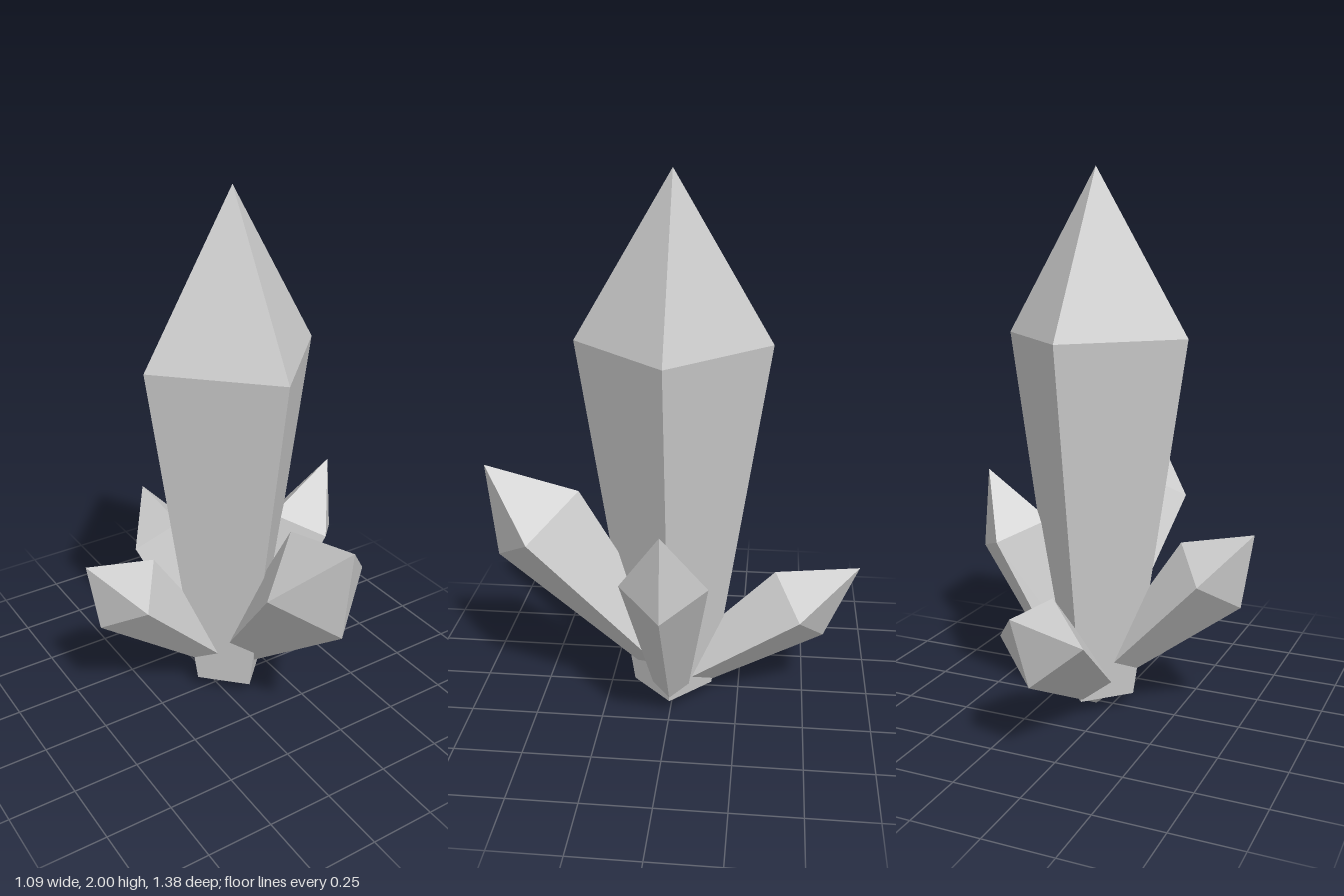
import * as THREE from 'three';

const material = new THREE.MeshStandardMaterial({ color: 0xcccccc, flatShading: true });
const UP = new THREE.Vector3(0, 1, 0);

// Four-sided crystal from base centre to tip: tapered shaft, widest at the shoulder, pointed top
function crystal(name, base, tip, radius) {
  const start = new THREE.Vector3(...base);
  const axis = new THREE.Vector3(...tip).sub(start);
  const length = axis.length();
  const profile = [
    [0, 0],
    [radius * 0.424, 0],
    [radius, length * 0.696],
    [0, length],
  ].map(([r, y]) => new THREE.Vector2(r, y));
  const mesh = new THREE.Mesh(new THREE.LatheGeometry(profile, 4), material);
  mesh.name = name;
  mesh.position.copy(start);
  mesh.quaternion.setFromUnitVectors(UP, axis.normalize());
  return mesh;
}

export function createModel() {
  const group = new THREE.Group();
  group.name = 'crystalCluster';
  group.add(
    // tall upright centre
    crystal('mainCrystal', [0.065, 0.06, 0], [0.065, 2, 0], 0.35),
    // smaller crystals leaning outwards
    crystal('frontCrystal', [0.095, 0.21, 0.06], [0.095, 0.943, 0.69], 0.205),
    crystal('backCrystal', [0.06, 0.056, 0.02], [0.06, 0.575, -0.69], 0.157),
    crystal('leftCrystal', [0.145, 0.088, 0], [0.52, 0.878, 0], 0.155),
    crystal('rightCrystal', [-0.02, 0.187, 0], [-0.54, 0.735, 0], 0.157),
  );
  return group;
}
